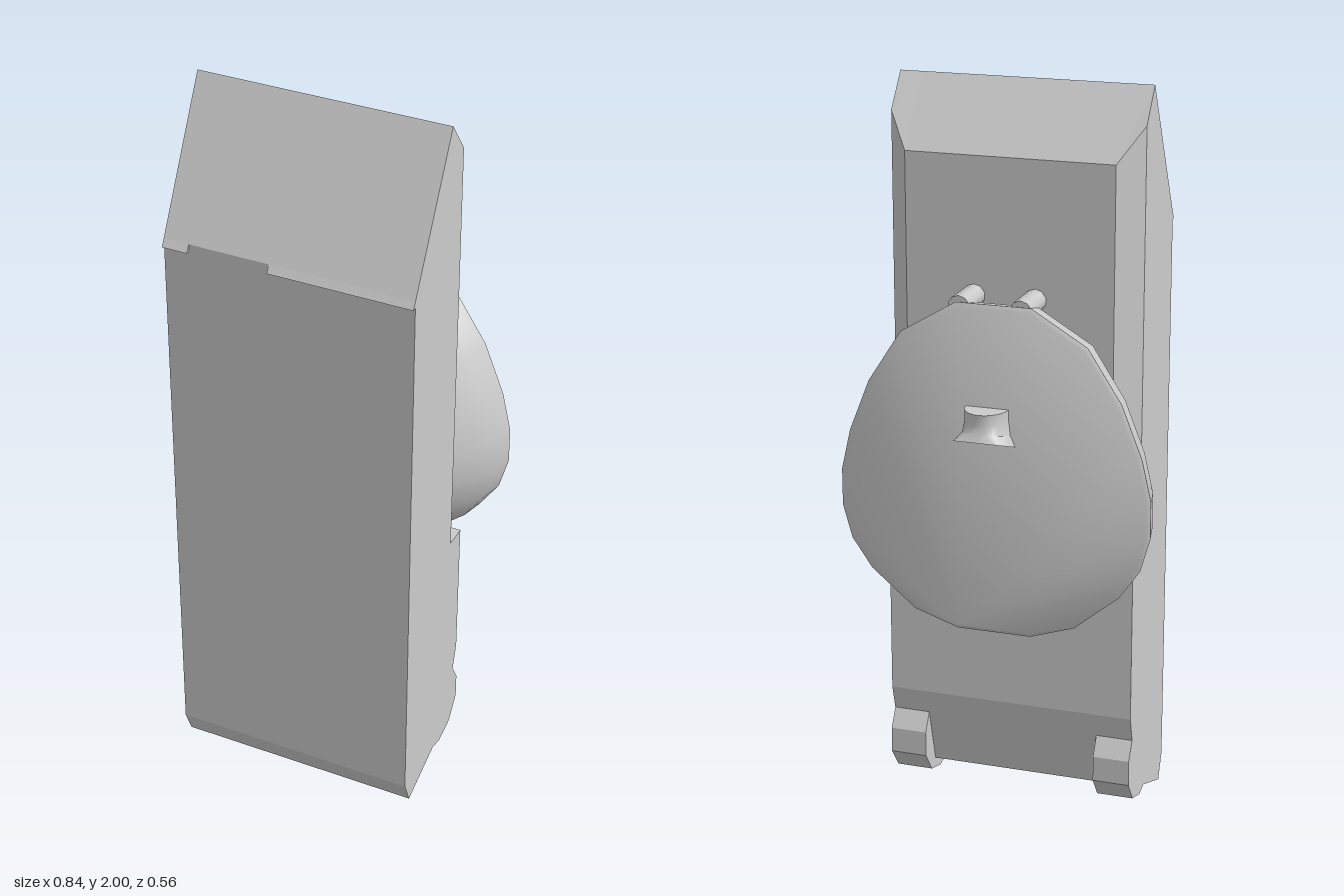
import * as THREE from 'three';
import { toCreasedNormals } from 'three/addons/utils/BufferGeometryUtils.js';

const flat = new THREE.MeshStandardMaterial({ color: 0xcccccc, flatShading: true });
const smooth = new THREE.MeshStandardMaterial({ color: 0xcccccc });

// Extrude a side profile of [z, y] points from x0 to x1
function sideExtrude(profile, x0, x1) {
  const shape = new THREE.Shape(profile.map(([z, y]) => new THREE.Vector2(-z, y)));
  const geo = new THREE.ExtrudeGeometry(shape, { depth: x1 - x0, bevelEnabled: false });
  return geo.rotateY(Math.PI / 2).translate(x0, 0, 0);
}

// Skin closed rings of [x, y, z] points and cap both ends
function loft(rings) {
  const n = rings[0].length, pos = rings.flat(2), index = [];
  for (let r = 0; r < rings.length - 1; r++) {
    for (let i = 0; i < n; i++) {
      const a = r * n + i, b = r * n + (i + 1) % n;
      index.push(a, b, b + n, a, b + n, a + n);
    }
  }
  const last = (rings.length - 1) * n;
  for (let i = 1; i < n - 1; i++) {
    index.push(0, i + 1, i, last, last + i, last + i + 1);
  }
  const geo = new THREE.BufferGeometry();
  geo.setAttribute('position', new THREE.Float32BufferAttribute(pos, 3));
  geo.setIndex(index);
  return toCreasedNormals(geo, 0.6);
}

export function createModel() {
  const model = new THREE.Group();
  const add = (name, geo, mat = flat) => {
    const mesh = new THREE.Mesh(geo, mat);
    mesh.name = name;
    model.add(mesh);
    return mesh;
  };

  const W = 0.34, C = 0.28, F = 0.24, split = 0.72;

  // Upper body with a pitched top
  const upper = [[0.27, split], [0.27, 1.63], [0.07, 2], [-0.065, 1.82], [-0.065, split]];
  add('upperBody', sideExtrude(upper, -C, C));

  // Lower body with a sloping recess between the feet
  const front = [[-0.065, split], [0.27, split], [0.27, 0.07], [0.24, 0]];
  add('lowerBody', sideExtrude([...front, [0, 0.09], [-0.045, 0.25], [-0.065, 0.32]], -F, F));

  const foot = [...front, [0.08, 0.06], [0.04, 0.05], [-0.03, 0.07], [-0.075, 0.13],
    [-0.075, 0.2], [-0.045, 0.25], [-0.065, 0.32]];
  for (const s of [1, -1]) {
    const side = s > 0 ? 'left' : 'right';

    // Outer strip whose rear edge is pulled forward into a chamfer
    const strip = sideExtrude(upper, s > 0 ? C : -W, s > 0 ? W : -C);
    const p = strip.attributes.position;
    for (let i = 0; i < p.count; i++) {
      if (Math.abs(p.getX(i)) > W - 0.01 && p.getZ(i) < -0.06) {
        p.setZ(i, 0);
        if (p.getY(i) > 1) p.setY(i, 1.91);
      }
    }
    strip.computeVertexNormals();
    add(side + 'ChamferedEdge', strip);

    // Lower side with rounded foot
    add(side + 'Foot', sideExtrude(foot, s > 0 ? F : -W, s > 0 ? W : -F));
  }

  // Thin lip over the front face, interrupted by a notch
  const lip = [[0.27, 1.61], [0.282, 1.61], [0.27, 1.63]];
  add('frontLipLong', sideExtrude(lip, -0.05, W));
  add('frontLipShort', sideExtrude(lip, -W, -0.27));

  // Egg-shaped rear disc, tapering towards the body
  const half = [[0.1, 0.58], [0.22, 0.62], [0.34, 0.72], [0.395, 0.8], [0.42, 0.89],
    [0.42, 0.99], [0.395, 1.1], [0.34, 1.24], [0.25, 1.38], [0.1, 1.47]];
  const outline = [...half, ...half.map(([x, y]) => [-x, y]).reverse()];
  const cy = 0.98;
  const levels = [[-0.2, 0.975], [-0.193, 1], [-0.12, 0.965], [-0.065, 0.88], [-0.015, 0.79], [0.02, 0.7]];
  add('rearDisc', loft(levels.map(([z, k]) =>
    outline.map(([x, y]) => [x * k, cy + (y - cy) * k, z]))), smooth);

  // Two small knobs on top of the disc
  for (const x of [0.095, -0.07]) {
    const knob = new THREE.CylinderGeometry(0.03, 0.03, 0.12, 10).rotateX(Math.PI / 2);
    add('topKnob', knob, smooth).position.set(x, 1.455, -0.125);
  }

  // Half-round peg flaring into a square lip underneath
  const pegRing = (rx, rz, power, yWall, yTip) => {
    const ring = [];
    for (let i = 0; i <= 12; i++) {
      const a = Math.PI * i / 12, c = Math.cos(a);
      const t = Math.pow(Math.max(Math.sin(a), 0), power);
      const x = Math.sign(c) * Math.pow(Math.abs(c), power) * rx;
      ring.push([0.014 + x, yWall + (yTip - yWall) * t, -0.195 - rz * t]);
    }
    return ring;
  };
  add('rearPeg', loft([
    pegRing(0.075, 0.085, 0.35, 1.1, 1.13),
    pegRing(0.062, 0.075, 0.8, 1.13, 1.15),
    pegRing(0.058, 0.07, 1, 1.17, 1.17),
    pegRing(0.058, 0.072, 1, 1.2, 1.2),
  ]), smooth);

  return model;
}
